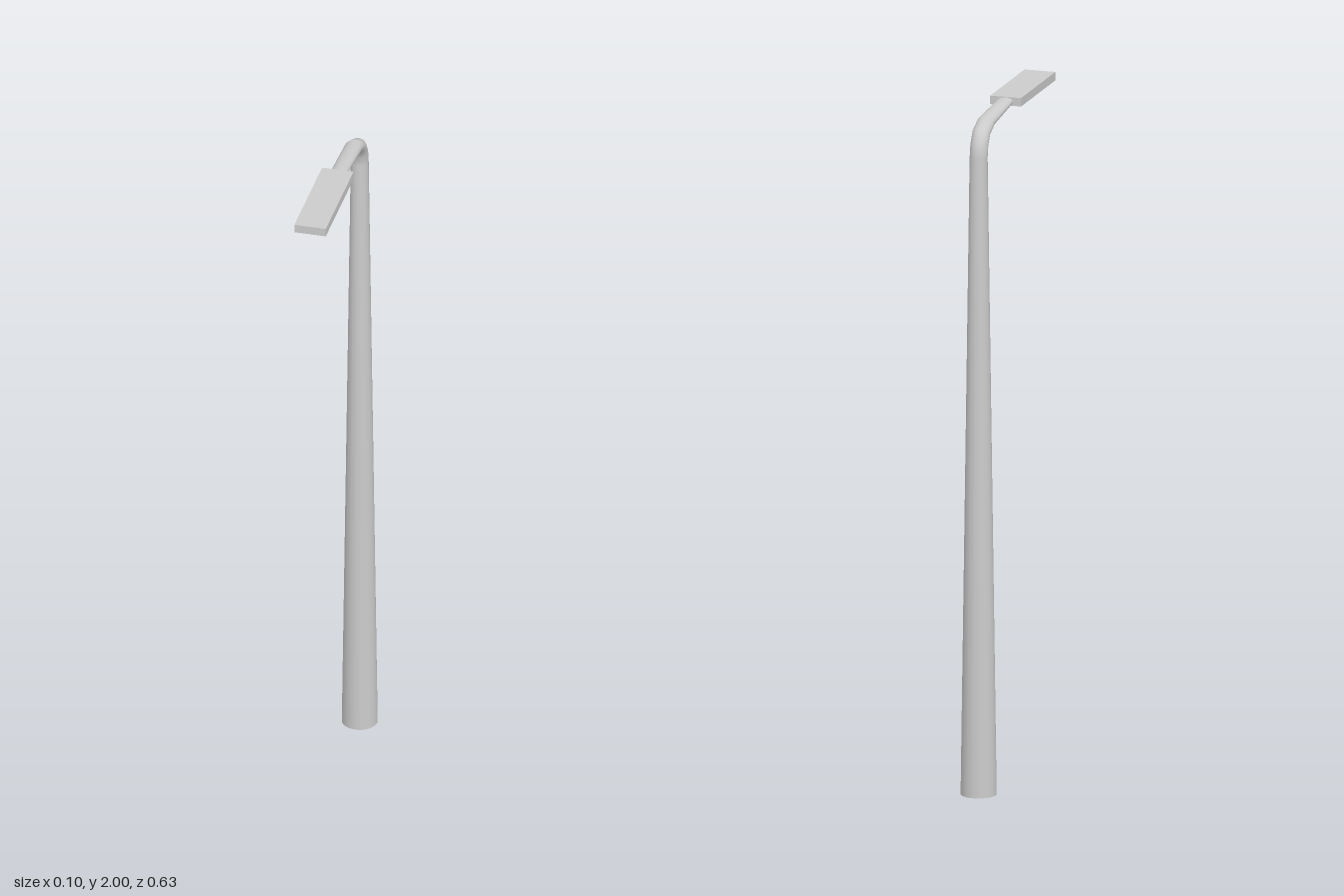
import * as THREE from 'three';

const SIDES = 16;

// Tube through rings given by their outer and inner points in the side plane: [zOuter, yOuter, zInner, yInner, halfWidth]
function sweep(rings) {
  const pos = [], idx = [];
  rings.forEach(([zo, yo, zi, yi, w], r) => {
    for (let s = 0; s < SIDES; s++) {
      const a = (s / SIDES) * Math.PI * 2, t = (1 + Math.cos(a)) / 2;
      pos.push(w * Math.sin(a), yi + (yo - yi) * t, zi + (zo - zi) * t);
      if (r < rings.length - 1) {
        const n = (s + 1) % SIDES, p = r * SIDES, q = p + SIDES;
        idx.push(p + s, q + n, p + n, p + s, q + s, q + n);
      }
    }
  });
  const geo = new THREE.BufferGeometry();
  geo.setAttribute('position', new THREE.Float32BufferAttribute(pos, 3));
  geo.setIndex(idx);
  geo.computeVertexNormals();
  return geo;
}

export function createModel() {
  const group = new THREE.Group();
  const mat = new THREE.MeshStandardMaterial({ color: 0xcccccc, side: THREE.DoubleSide });

  // Tapered pole, bend and flattening arm, open at the foot
  const pole = new THREE.Mesh(sweep([
    [-0.313, 0, -0.209, 0, 0.052],
    [-0.287, 1.88, -0.235, 1.88, 0.026],
    [-0.278, 1.925, -0.231, 1.908, 0.026],
    [-0.252, 1.963, -0.217, 1.935, 0.026],
    [-0.2, 1.987, -0.178, 1.953, 0.026],
    [-0.005, 1.999, -0.005, 1.976, 0.024],
  ]), mat);
  pole.name = 'poleAndArm';
  group.add(pole);

  // Flat lamp head
  const head = new THREE.Mesh(new THREE.BoxGeometry(0.093, 0.025, 0.323), mat);
  head.name = 'lampHead';
  head.position.set(-0.001, 1.9875, 0.151);
  group.add(head);

  return group;
}
